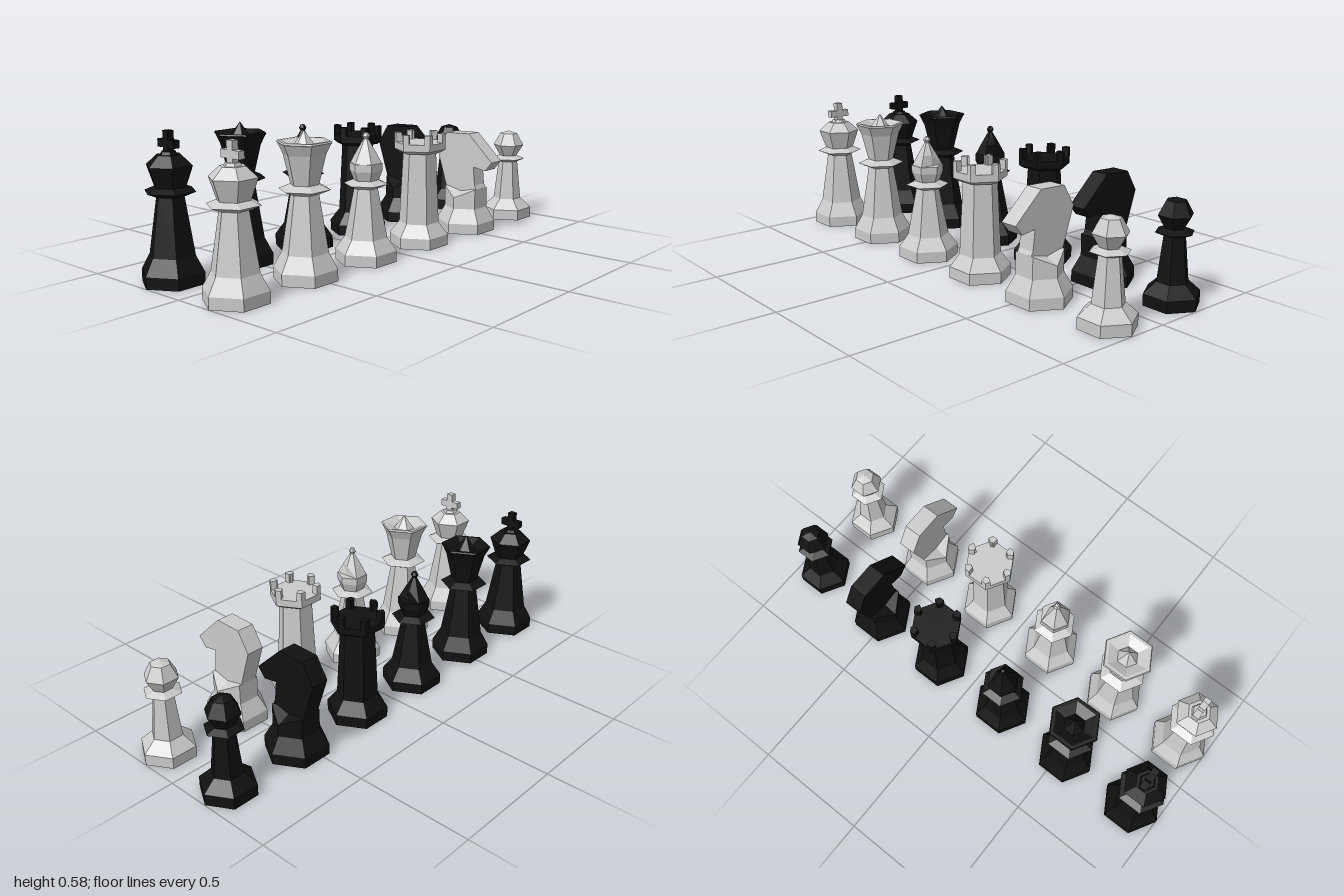
import * as THREE from 'three';

const HEX = Math.PI / 3;
const light = new THREE.MeshStandardMaterial({ color: 0xcccccc, flatShading: true });
const dark = new THREE.MeshStandardMaterial({ color: 0x111111, flatShading: true });

// Six-sided turned solid with corners on +x and -x; profile is [radius, height] pairs.
function hexLathe(profile) {
  const points = profile.map(([r, y]) => new THREE.Vector2(r, y));
  return new THREE.LatheGeometry(points, 6, Math.PI / 2);
}

function add(group, name, geometry, material) {
  const mesh = new THREE.Mesh(geometry, material);
  mesh.name = name;
  group.add(mesh);
  return mesh;
}

function addBox(group, name, size, y, material) {
  add(group, name, new THREE.BoxGeometry(...size), material).position.y = y;
}

// Foot plinth, tapering stem and diamond-section collar shared by the pieces.
function addBody(group, mat, { foot = 0.127, waist, waistY, neck, neckY }) {
  add(group, 'body', hexLathe([[0, 0], [foot, 0], [foot, 0.047], [waist, waistY], [neck, neckY], [0, neckY]]), mat);
}

function addCollar(group, mat, radius, inner, y, half) {
  add(group, 'collar', hexLathe([[0, y - half], [inner, y - half], [radius, y], [inner, y + half], [0, y + half]]), mat);
}

function king(g, mat) {
  addBody(g, mat, { waist: 0.092, waistY: 0.11, neck: 0.054, neckY: 0.345 });
  addCollar(g, mat, 0.102, 0.06, 0.353, 0.018);
  add(g, 'head', hexLathe([[0, 0.36], [0.06, 0.36], [0.092, 0.45], [0.048, 0.49], [0, 0.49]]), mat);
  add(g, 'crossFoot', hexLathe([[0.036, 0.485], [0.028, 0.502], [0, 0.502]]), mat);
  addBox(g, 'crossPost', [0.028, 0.09, 0.03], 0.535, mat);
  addBox(g, 'crossArms', [0.028, 0.03, 0.094], 0.531, mat);
}

function queen(g, mat) {
  addBody(g, mat, { waist: 0.092, waistY: 0.11, neck: 0.054, neckY: 0.345 });
  addCollar(g, mat, 0.102, 0.06, 0.353, 0.018);
  // flared crown with a sunken top and a central point
  add(g, 'crown', hexLathe([
    [0, 0.36], [0.053, 0.36], [0.084, 0.487], [0.103, 0.525], [0.108, 0.53],
    [0.104, 0.536], [0.09, 0.536], [0.045, 0.515], [0, 0.576],
  ]), mat);
}

function bishop(g, mat) {
  addBody(g, mat, { waist: 0.088, waistY: 0.1, neck: 0.046, neckY: 0.315 });
  addCollar(g, mat, 0.092, 0.055, 0.32, 0.016);
  // head: the +x corner is pushed in above the widest ring to leave a notch
  const head = hexLathe([[0, 0.325], [0.047, 0.325], [0.067, 0.375], [0.067, 0.405], [0.064, 0.4055], [0.04, 0.45], [0.009, 0.503]]);
  const p = head.attributes.position;
  for (let i = 0; i < p.count; i++) {
    if (p.getY(i) > 0.4052) p.setX(i, Math.min(p.getX(i), 0.034));
  }
  add(g, 'head', head, mat);
  add(g, 'finial', hexLathe([[0, 0.498], [0.009, 0.5], [0.016, 0.513], [0.009, 0.526], [0, 0.529]]), mat);
}

function rook(g, mat) {
  const R = 0.11, wall = 0.026, reach = 0.022;
  addBody(g, mat, { waist: 0.086, waistY: 0.1, neck: 0.07, neckY: 0.42 });
  add(g, 'crown', hexLathe([[0, 0.405], [0.09, 0.405], [R, 0.418], [R, 0.448], [0, 0.448]]), mat);
  // one battlement wrapped round each corner of the crown
  const along = (a, r, d) => new THREE.Vector2(r - d * 0.5, a * d * 0.866);
  const inner = R - wall / Math.cos(Math.PI / 6);
  const innerReach = reach - wall * Math.tan(Math.PI / 6);
  const corner = new THREE.Shape([
    along(1, R, 0), along(1, R, reach), along(1, inner, innerReach),
    along(1, inner, 0), along(-1, inner, innerReach), along(-1, R, reach),
  ]);
  const battlement = new THREE.ExtrudeGeometry(corner, { depth: 0.04, bevelEnabled: false });
  battlement.rotateX(-Math.PI / 2);
  for (let i = 0; i < 6; i++) {
    const m = add(g, 'battlement', battlement, mat);
    m.position.y = 0.447;
    m.rotation.y = i * HEX;
  }
}

function knight(g, mat) {
  // foot whose shoulders slope down to the side corners
  const base = hexLathe([[0, 0], [0.132, 0], [0.132, 0.047], [0.095, 0.11], [0.095, 0.2], [0, 0.2]]);
  const p = base.attributes.position;
  for (let i = 0; i < p.count; i++) {
    if (p.getY(i) > 0.19 && Math.abs(p.getX(i)) > 0.08) p.setY(i, 0.16);
  }
  add(g, 'base', base, mat);
  // flat horse head, drawn as [z, y]
  const outline = [
    [0.08, 0.12], [0.082, 0.2], [0.073, 0.218], [0.064, 0.302], [0.127, 0.291], [0.161, 0.332],
    [0.036, 0.45], [-0.084, 0.446], [-0.1355, 0.361], [-0.082, 0.197], [-0.08, 0.12],
  ];
  const width = 0.076;
  const head = new THREE.ExtrudeGeometry(
    new THREE.Shape(outline.map(([z, y]) => new THREE.Vector2(z, y))),
    { depth: width, bevelEnabled: false });
  head.translate(0, 0, -width / 2).rotateY(-Math.PI / 2);
  add(g, 'horseHead', head, mat);
}

function pawn(g, mat) {
  addBody(g, mat, { foot: 0.114, waist: 0.064, waistY: 0.093, neck: 0.043, neckY: 0.28 });
  addCollar(g, mat, 0.078, 0.045, 0.286, 0.014);
  add(g, 'head', hexLathe([[0, 0.295], [0.038, 0.298], [0.07, 0.352], [0.04, 0.407], [0, 0.419]]), mat);
}

export function createModel() {
  const model = new THREE.Group();
  model.name = 'chessPieces';
  const pieces = { king, queen, bishop, rook, knight, pawn };
  const rows = [['light', light, 0.165], ['dark', dark, -0.188]];
  for (const [shade, mat, z] of rows) {
    Object.entries(pieces).forEach(([name, build], i) => {
      const piece = new THREE.Group();
      piece.name = `${shade} ${name}`;
      build(piece, mat);
      piece.position.set(-0.873 + i * 0.3515, 0, z);
      model.add(piece);
    });
  }
  return model;
}
